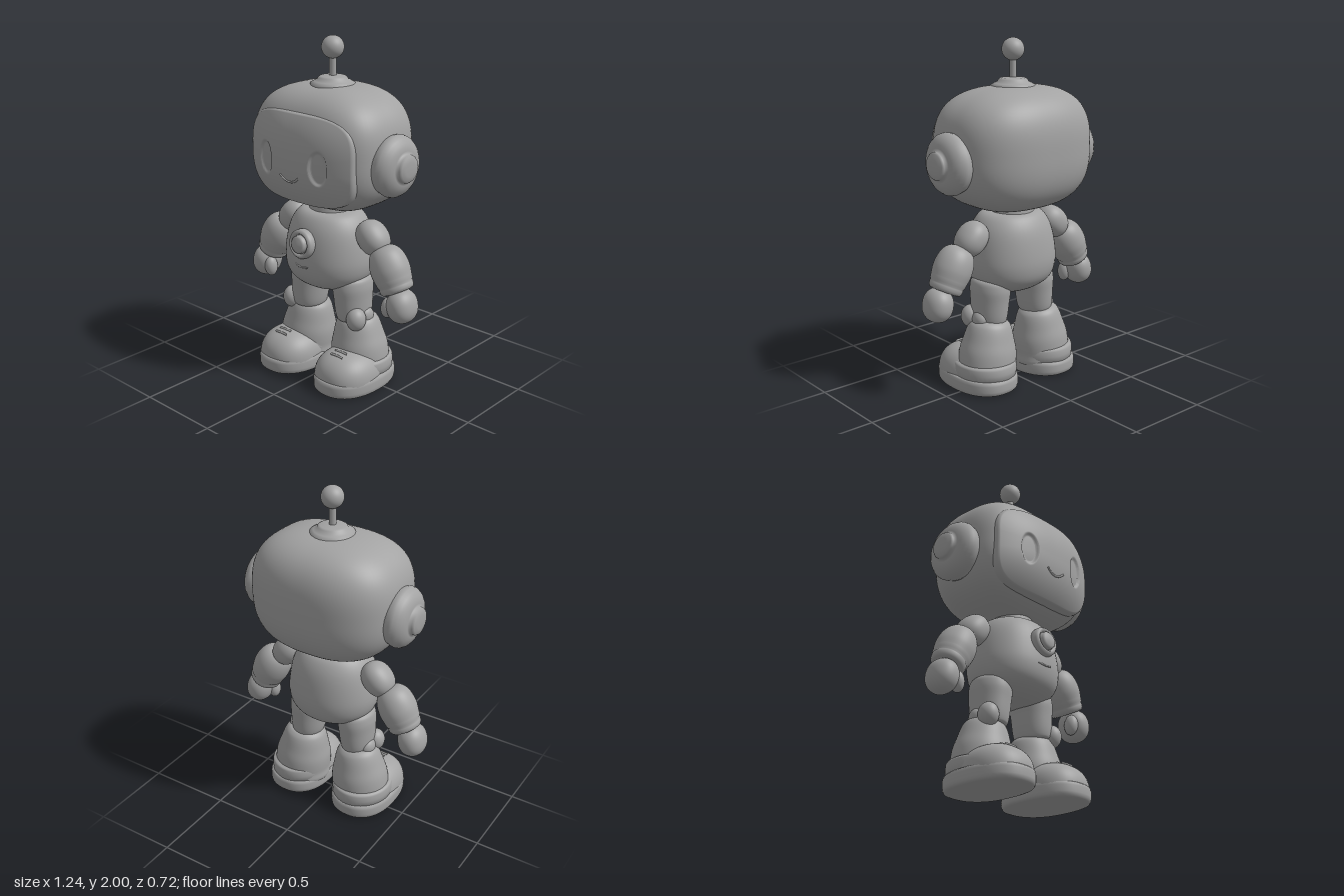
import * as THREE from 'three';
import { mergeVertices } from 'three/addons/utils/BufferGeometryUtils.js';

const shell = new THREE.MeshStandardMaterial({ color: 0xa3a3a3 });
shell.name = 'shell grey';

function part(parent, name, geometry, x = 0, y = 0, z = 0) {
  const mesh = new THREE.Mesh(geometry, shell);
  mesh.name = name;
  mesh.position.set(x, y, z);
  parent.add(mesh);
  return mesh;
}

// Weld the seams and rebuild smooth normals
function smooth(geometry) {
  geometry.deleteAttribute('uv');
  geometry.deleteAttribute('normal');
  const g = mergeVertices(geometry, 1e-5);
  g.computeVertexNormals();
  return g;
}

// Rounded block: front/back = squareness seen from above, side = squareness seen from the side
function blob(rx, ry, rz, back = 2, side = 2, front = back, n = 32) {
  const g = new THREE.SphereGeometry(1, n * 1.5, n);
  const p = g.attributes.position;
  for (let i = 0; i < p.count; i++) {
    const x = p.getX(i), y = p.getY(i), z = p.getZ(i);
    const a = z > 0 ? front : back;
    const flat = Math.pow(Math.abs(x) ** a + Math.abs(z) ** a, side / a);
    const k = 1 / Math.pow(flat + Math.abs(y) ** side, 1 / side);
    p.setXYZ(i, x * k * rx, y * k * ry, z * k * rz);
  }
  return smooth(g);
}

// Turned part, optionally stretched to an oval or squared off
function turned(points, sx = 1, sz = 1, power = 2) {
  const g = new THREE.LatheGeometry(points.map(([r, y]) => new THREE.Vector2(r, y)), 48);
  const p = g.attributes.position;
  for (let i = 0; i < p.count; i++) {
    const x = p.getX(i), z = p.getZ(i), r = Math.hypot(x, z);
    const k = r < 1e-6 ? 1 : r / Math.pow(Math.abs(x) ** power + Math.abs(z) ** power, 1 / power);
    p.setXYZ(i, x * k * sx, p.getY(i), z * k * sz);
  }
  return smooth(g);
}

// Smooth curve through a few profile points
function curved(points, n = 28) {
  const c = new THREE.SplineCurve(points.map(([r, y]) => new THREE.Vector2(r, y)));
  return c.getPoints(n).map(v => [Math.max(v.x, 0), v.y]);
}

// Depth of the visor surface, with two sunken oval eyes
const VISOR_Y = 1.36;
function visorDepth(x, y) {
  const v = (y - VISOR_Y) / 0.255;
  let z = 0.358 - 0.1 * Math.abs(x / 0.39) ** 2.5 - (v > 0 ? 0.06 : 0.075) * Math.abs(v) ** 2.5;
  const eye = Math.hypot((Math.abs(x) - 0.195) / 0.06, (y - 1.345) / 0.102);
  z -= 0.014 * (1 - THREE.MathUtils.smoothstep(eye, 0.78, 1));
  return z;
}

function visorGeometry() {
  const rings = 60, segs = 128, pos = [], index = [];
  const rim = [[1.0, 0.006], [1.008, 0.02], [1.008, 0.1]];
  for (let i = 0; i <= rings + rim.length; i++) {
    const [t, drop] = i <= rings ? [0.985 * i / rings, 0] : rim[i - rings - 1];
    for (let j = 0; j < segs; j++) {
      const a = j / segs * Math.PI * 2, c = Math.cos(a), s = Math.sin(a);
      const x = 0.38 * t * Math.sign(c) * Math.abs(c) ** 0.55;
      const y = VISOR_Y + 0.255 * t * Math.sign(s) * Math.abs(s) ** 0.55;
      pos.push(x, y, visorDepth(x, y) - drop);
      if (i > 0) {
        const k = (j + 1) % segs, p = (i - 1) * segs, q = i * segs;
        index.push(p + j, q + j, q + k, p + j, q + k, p + k);
      }
    }
  }
  const g = new THREE.BufferGeometry();
  g.setAttribute('position', new THREE.Float32BufferAttribute(pos, 3));
  g.setIndex(index);
  g.computeVertexNormals();
  return g;
}

function tube(points, radius) {
  const path = new THREE.CatmullRomCurve3(points.map(p => new THREE.Vector3(...p)));
  return new THREE.TubeGeometry(path, 24, radius, 8);
}

function buildHead(root) {
  const head = new THREE.Group();
  head.name = 'head';
  root.add(head);
  part(head, 'skull', blob(0.445, 0.35, 0.338, 2.5, 2.8, 3.4, 56), 0, 1.39, -0.02);
  part(head, 'visor', visorGeometry());
  const smile = [-0.068, -0.035, 0, 0.035, 0.068].map(x => {
    const y = 1.24 + 0.032 * (x / 0.068) ** 2;
    return [x, y, visorDepth(x, y)];
  });
  part(head, 'smile', tube(smile, 0.006));

  // Antenna
  part(head, 'antennaBase', turned([[0, 1.7], [0.13, 1.71], [0.125, 1.738], [0.105, 1.75], [0.088, 1.757],
    [0.082, 1.77], [0.07, 1.777], [0.03, 1.781], [0, 1.782]]));
  part(head, 'antennaStem', new THREE.CylinderGeometry(0.02, 0.02, 0.14, 20), 0, 1.83, 0);
  part(head, 'antennaBall', new THREE.SphereGeometry(0.064, 32, 24), 0, 1.936, 0);

  // Ear discs
  const earProfile = [[0, 0.38], [0.155, 0.39], [0.168, 0.43], [0.174, 0.455], [0.17, 0.475], [0.155, 0.497],
    [0.135, 0.513], [0.115, 0.522], [0.095, 0.528], [0.08, 0.528],
    [0.078, 0.545], [0.07, 0.556], [0.04, 0.561], [0, 0.562]];
  for (const s of [1, -1]) {
    const ear = part(head, s > 0 ? 'leftEar' : 'rightEar', turned(earProfile), 0, 1.345, 0);
    ear.rotation.z = -s * Math.PI / 2;
  }
}

function buildBody(root) {
  part(root, 'neck', new THREE.CylinderGeometry(0.12, 0.135, 0.12, 40), 0, 1.03, 0.01);
  part(root, 'torso', turned(curved([[0, 0.54], [0.11, 0.55], [0.2, 0.59], [0.25, 0.64], [0.27, 0.71],
    [0.268, 0.79], [0.25, 0.89], [0.222, 0.96], [0.18, 1.008], [0.12, 1.022], [0, 1.025]], 40), 1, 0.89, 2.1), 0, 0, 0.02);

  // Chest dial and the slot below it
  const dial = part(root, 'chestDial', turned([[0, -0.08], [0.08, -0.08], [0.086, 0], [0.084, 0.022], [0.074, 0.034],
    [0.062, 0.032], [0.057, 0.022], [0.052, 0.024], [0.05, 0.042], [0.04, 0.052], [0, 0.055]]), 0, 0.855, 0.25);
  dial.rotation.x = Math.PI / 2 - 0.1;
  part(root, 'chestSlot', tube([[-0.05, 0.722, 0.257], [0, 0.715, 0.262], [0.05, 0.722, 0.257]], 0.005));
}

function buildArm(root, s) {
  const arm = new THREE.Group();
  arm.name = s > 0 ? 'leftArm' : 'rightArm';
  root.add(arm);
  const shoulder = part(arm, 'shoulder', blob(0.085, 0.108, 0.092, 2.2, 2.2), s * 0.307, 0.9, 0);
  shoulder.rotation.z = s * 0.75;

  // Forearm barrel with a cuff groove near the wrist
  const forearm = part(arm, 'forearm', turned([[0, -0.125], [0.078, -0.125], [0.09, -0.12], [0.097, -0.108],
    [0.099, -0.09], [0.096, -0.083], [0.103, -0.072],
    ...curved([[0.106, -0.05], [0.113, 0], [0.108, 0.055], [0.092, 0.1], [0.066, 0.13], [0.035, 0.142], [0, 0.145]])]),
    s * 0.442, 0.74, 0.005);
  forearm.rotation.z = s * 0.47;

  // Fist and thumb
  const fist = part(arm, 'fist', blob(0.08, 0.098, 0.095, 2.2, 2.2), s * 0.537, 0.557, 0.015);
  fist.rotation.z = s * 0.2;
  const thumb = part(arm, 'thumb', blob(0.038, 0.062, 0.042), s * 0.466, 0.54, 0.055);
  thumb.rotation.z = s * -0.1;
}

function buildLeg(root, s) {
  const leg = new THREE.Group();
  leg.name = s > 0 ? 'leftLeg' : 'rightLeg';
  root.add(leg);
  const thigh = part(leg, 'thigh', turned(curved([[0, -0.14], [0.075, -0.135], [0.096, -0.105], [0.106, 0],
    [0.11, 0.08], [0.09, 0.13], [0, 0.14]]), 1, 1.18), s * 0.17, 0.51, 0.008);
  thigh.rotation.z = s * 0.05;
  part(leg, 'kneePad', blob(0.056, 0.068, 0.06), s * 0.255, 0.408, 0.08);
  part(leg, 'kneeJoint', blob(0.045, 0.055, 0.055), s * 0.25, 0.408, -0.005);

  // Flared boot shaft, leaning outward toward the foot
  const shaft = part(leg, 'bootShaft', turned(curved([[0, -0.17], [0.165, -0.165], [0.172, -0.1], [0.168, -0.02],
    [0.15, 0.05], [0.131, 0.115], [0.112, 0.148], [0.08, 0.165], [0, 0.17]], 40), 1, 0.97), s * 0.2, 0.235, -0.012);
  shaft.rotation.z = s * 0.1;
  part(leg, 'heelBand', turned([[0.165, 0.08], [0.18, 0.085], [0.183, 0.12], [0.18, 0.15], [0.174, 0.162],
    [0.15, 0.168]], 0.98, 1.08), s * 0.222, 0, -0.005);

  // Toe cap dome, ridges and sole
  const dome = [];
  for (let i = 0; i <= 20; i++) {
    const a = i / 20 * Math.PI / 2;
    dome.push([Math.max(Math.cos(a), 0) ** 0.87, 0.165 * Math.sin(a) ** 0.87]);
  }
  part(leg, 'toeCap', turned(dome, 0.182, 0.203, 2.3), s * 0.225, 0.065, 0.108);
  for (const [y, z] of [[0.223, 0.172], [0.214, 0.21]])
    part(leg, 'toeRidge', tube([[-0.045, y, z], [0, y + 0.002, z], [0.045, y, z]], 0.007), s * 0.225, 0, 0);
  part(leg, 'sole', turned([[0, 0], [0.9, 0], [0.96, 0.004], [0.99, 0.015], [1, 0.03], [1, 0.065],
    [0.985, 0.08], [0.95, 0.088], [0.85, 0.09], [0, 0.09]], 0.19, 0.267, 2.35), s * 0.225, 0, 0.057);
}

export function createModel() {
  const root = new THREE.Group();
  root.name = 'toyRobot';
  buildHead(root);
  buildBody(root);
  for (const s of [1, -1]) {
    buildArm(root, s);
    buildLeg(root, s);
  }
  return root;
}
